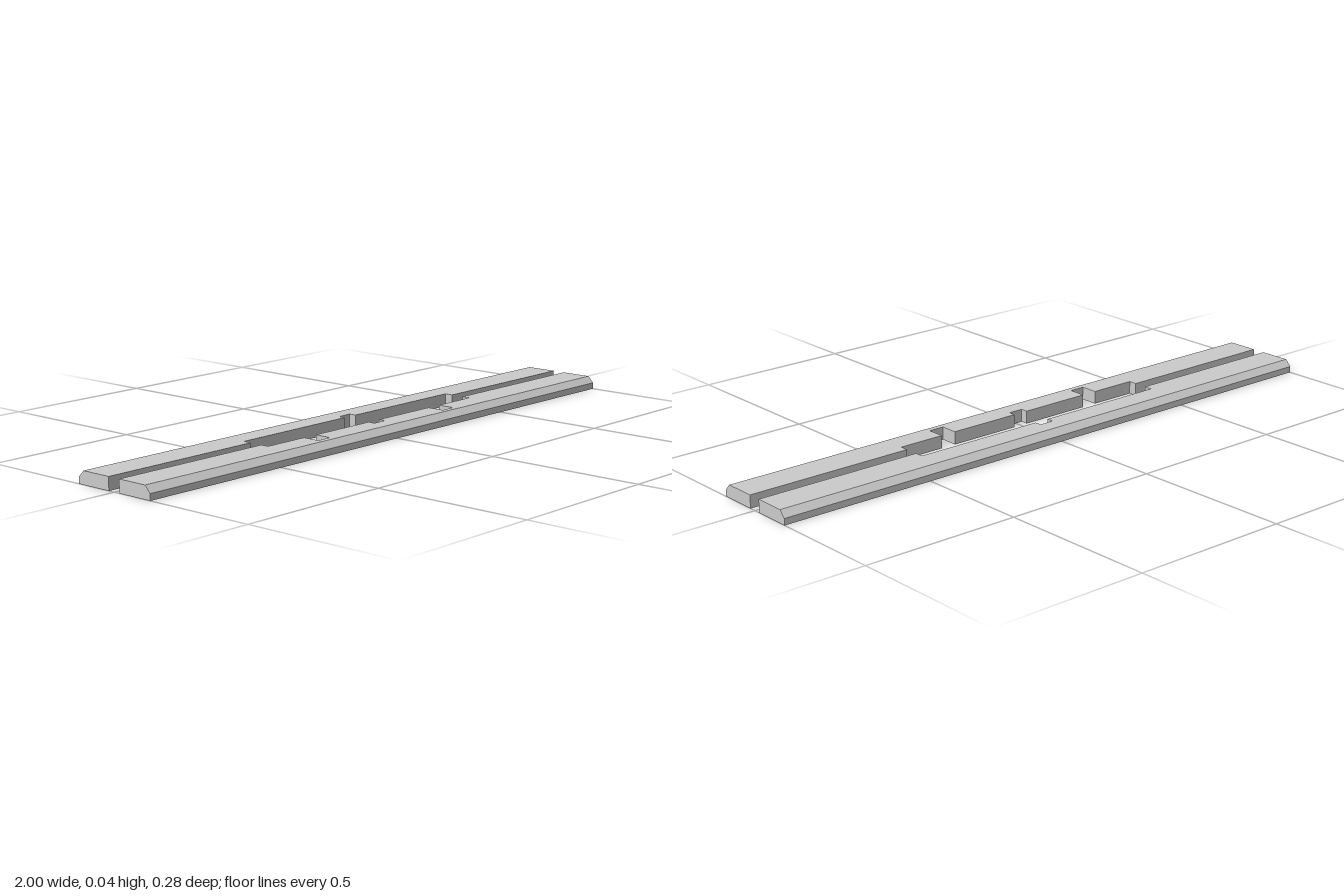
import * as THREE from 'three';

const HEIGHT = 0.04, INNER = 0.021, OUTER = 0.141, BEVEL = 0.019;

// Right half of the inner edge as [x, distance from the centre line]
const notches = [[0.024, 0.071], [0.024, 0.048]];
const slot = [[0.257, 0.048], [0.257, 0.104], [0.307, 0.104], [0.307, 0.048]];
const recessEnd = [[0.457, 0.048], [0.457, INNER], [1, INNER]];

// A rail lying on the -z side, its outer top edge chamfered
function rail(name, innerEdge, material) {
  const mirrored = innerEdge.map(([x, d]) => [-x, d]).reverse();
  const outline = [...mirrored, ...innerEdge, [1, OUTER], [-1, OUTER]];
  const shape = new THREE.Shape(outline.map(([x, d]) => new THREE.Vector2(x, d)));
  let geometry = new THREE.ExtrudeGeometry(shape, { depth: HEIGHT, steps: 2, bevelEnabled: false });
  geometry.rotateX(-Math.PI / 2);

  // Pull the top outer edge inwards to form the chamfer
  const p = geometry.attributes.position;
  for (let i = 0; i < p.count; i++) {
    if (p.getY(i) > HEIGHT - 0.001 && p.getZ(i) < -OUTER + 0.001) p.setZ(i, -OUTER + BEVEL);
  }
  if (geometry.index) geometry = geometry.toNonIndexed();
  geometry.computeVertexNormals();

  const mesh = new THREE.Mesh(geometry, material);
  mesh.name = name;
  return mesh;
}

export function createModel() {
  const group = new THREE.Group();
  group.name = 'splitRailPair';
  const material = new THREE.MeshStandardMaterial({ color: 0xcccccc, flatShading: true });

  const backRail = rail('backRail', [...notches, ...recessEnd], material);

  // The front rail faces the back one and has two extra slots
  const frontRail = rail('frontRail', [...notches, ...slot, ...recessEnd], material);
  frontRail.rotation.y = Math.PI;

  group.add(backRail, frontRail);
  return group;
}
